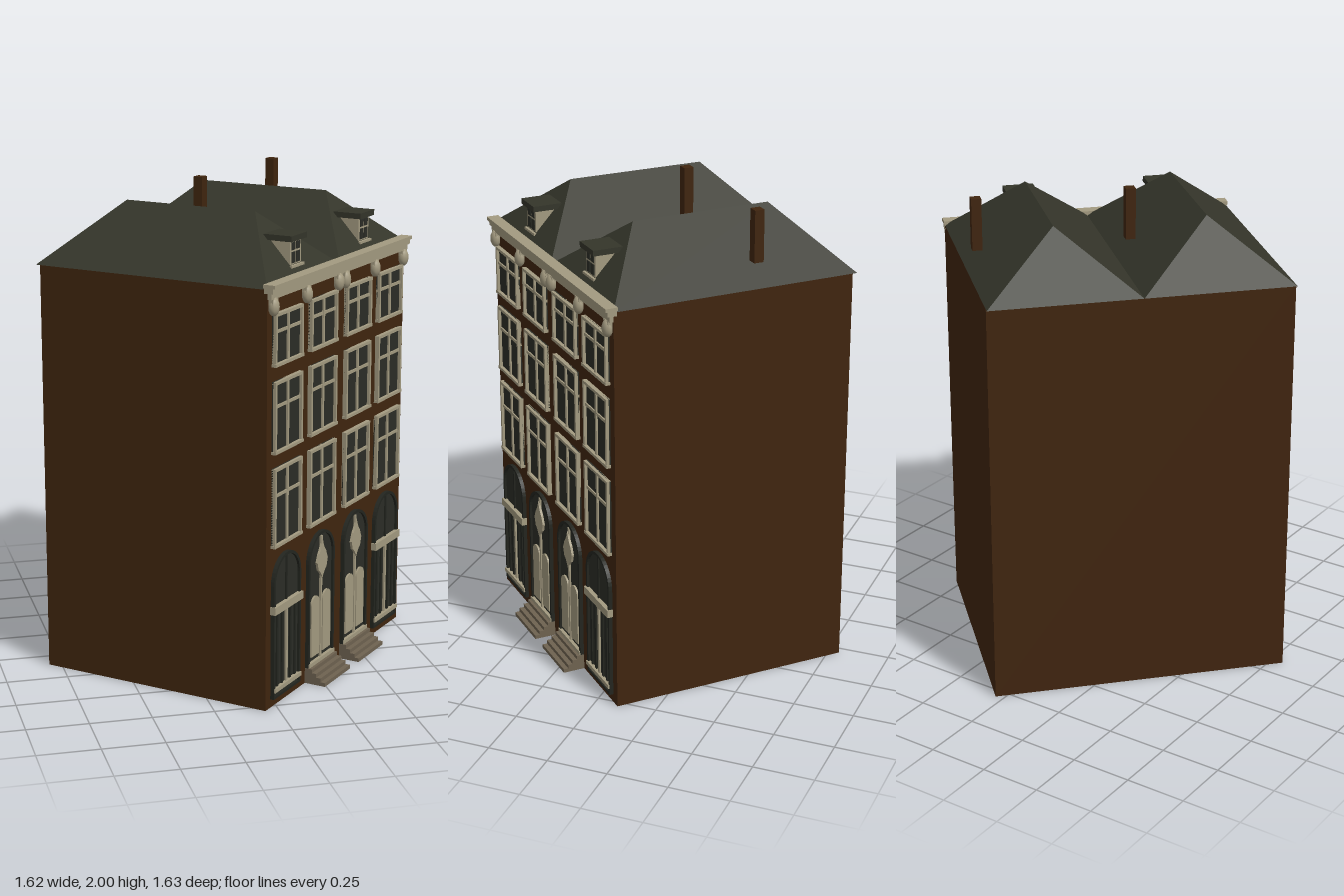
import * as THREE from 'three';

const material = (name, color) => {
  const m = new THREE.MeshStandardMaterial({ color });
  m.name = name;
  return m;
};

export function createModel() {
  const brick = material('brown brick', 0x40250f);
  const slate = material('dark slate', 0x34352a);
  const trim = material('cream trim', 0xa39a80);
  const glass = material('dark glass', 0x2b2d26);
  const dark = material('dark frame', 0x23251f);
  const stone = material('step stone', 0x6e6250);

  const W = 1.222, D = 1.022, EAVE = 1.69, FRONT = D / 2;
  const model = new THREE.Group();
  model.name = 'doubleTownHouse';
  // The house stands diagonally; local +z is its street facade
  const house = new THREE.Group();
  house.name = 'house';
  house.rotation.y = 0.818;
  house.position.x = -0.01;
  model.add(house);

  const add = (parent, name, geometry, mat, x = 0, y = 0, z = 0) => {
    const mesh = new THREE.Mesh(geometry, mat);
    mesh.name = name;
    mesh.position.set(x, y, z);
    parent.add(mesh);
    return mesh;
  };
  // Box given by its centre x, bottom and top y, back and front z
  const box = (parent, name, mat, x, w, y0, y1, z0, z1) =>
    add(parent, name, new THREE.BoxGeometry(w, y1 - y0, z1 - z0), mat, x, (y0 + y1) / 2, (z0 + z1) / 2);
  const group = (parent, name, x) => {
    const g = new THREE.Group();
    g.name = name;
    g.position.x = x;
    parent.add(g);
    return g;
  };

  // Round-topped outline, centred on x = 0
  const arch = (Type, w, y0, y1) => {
    const r = w / 2, s = new Type();
    s.moveTo(-r, y0);
    s.lineTo(r, y0);
    s.lineTo(r, y1 - r);
    s.absarc(0, y1 - r, r, 0, Math.PI, false);
    s.lineTo(-r, y0);
    return s;
  };
  const extrude = (shape, depth) =>
    new THREE.ExtrudeGeometry(shape, { depth, bevelEnabled: false, curveSegments: 10 });

  // Hipped roof over one house, overhanging at the back
  const hipRoof = () => {
    const b = W / 4, r = 0.292;
    const p = [
      [-b, 0, FRONT], [b, 0, FRONT], [b, 0, -0.531], [-b, 0, -0.531],
      [0, 0.236, r], [0, 0.236, -r],
    ];
    const faces = [0, 1, 4, 1, 2, 5, 1, 5, 4, 2, 3, 5, 3, 0, 4, 3, 4, 5, 0, 3, 2, 0, 2, 1];
    const g = new THREE.BufferGeometry();
    g.setAttribute('position', new THREE.Float32BufferAttribute(faces.flatMap(i => p[i]), 3));
    g.computeVertexNormals();
    return g;
  };

  // Sash window: glass, surround, mullion and a transom a third of the way down
  const sashWindow = (x, y0, y1) => {
    const g = group(house, 'sashWindow', x), w = 0.228, t = 0.012;
    box(g, 'windowGlass', glass, 0, w, y0, y1, FRONT - 0.005, FRONT + 0.006);
    for (const s of [-1, 1]) box(g, 'windowJamb', trim, s * (w - t) / 2, t, y0, y1, FRONT, FRONT + 0.018);
    box(g, 'windowHead', trim, 0, w, y1 - t, y1, FRONT, FRONT + 0.018);
    box(g, 'windowSill', trim, 0, w + 0.006, y0, y0 + t, FRONT, FRONT + 0.02);
    box(g, 'mullion', trim, 0, 0.013, y0, y1, FRONT, FRONT + 0.013);
    const yt = y1 - (y1 - y0) * 0.35;
    box(g, 'transom', trim, 0, w, yt - 0.006, yt + 0.006, FRONT, FRONT + 0.012);
  };

  // Arched opening shared by ground floor windows and doors
  const archedOpening = (name, x) => {
    const g = group(house, name, x);
    add(g, 'archGlass', extrude(arch(THREE.Shape, 0.226, 0.035, 0.62), 0.01), glass, 0, 0, FRONT - 0.004);
    const ring = arch(THREE.Shape, 0.228, 0.035, 0.621);
    ring.holes.push(arch(THREE.Path, 0.204, 0.045, 0.609));
    add(g, 'archFrame', extrude(ring, 0.016), dark, 0, 0, FRONT);
    return g;
  };

  const archedWindow = x => {
    const g = archedOpening('archedWindow', x);
    box(g, 'crossBeam', trim, 0, 0.236, 0.39, 0.422, FRONT, FRONT + 0.024);
    box(g, 'windowSill', trim, 0, 0.226, 0.063, 0.08, FRONT, FRONT + 0.022);
    box(g, 'lowerMullion', trim, 0, 0.014, 0.08, 0.39, FRONT, FRONT + 0.014);
    box(g, 'upperMullion', dark, 0, 0.01, 0.42, 0.61, FRONT, FRONT + 0.012);
    for (const s of [-1, 1])
      for (const off of [0.035, 0.075])
        box(g, 'lowerPaneBar', dark, s * off, 0.012, 0.08, 0.39, FRONT, FRONT + 0.012);
  };

  const frontDoor = x => {
    const g = archedOpening('frontDoor', x);
    for (const s of [-1, 1])
      add(g, 'doorPanel', extrude(arch(THREE.Shape, 0.07, 0.1, 0.356), 0.008), trim, s * 0.05, 0, FRONT + 0.006);
    box(g, 'doorPost', trim, 0, 0.012, 0.08, 0.6, FRONT, FRONT + 0.014);
    box(g, 'threshold', trim, 0, 0.226, 0.063, 0.08, FRONT, FRONT + 0.02);
    // Fanlight ornament
    const s = new THREE.Shape();
    s.moveTo(0, 0.42);
    s.quadraticCurveTo(0.015, 0.45, 0.035, 0.46);
    s.lineTo(0.046, 0.495);
    s.lineTo(0.03, 0.53);
    s.quadraticCurveTo(0.01, 0.55, 0, 0.585);
    s.quadraticCurveTo(-0.01, 0.55, -0.03, 0.53);
    s.lineTo(-0.046, 0.495);
    s.lineTo(-0.035, 0.46);
    s.quadraticCurveTo(-0.015, 0.45, 0, 0.42);
    add(g, 'fanlightOrnament', extrude(s, 0.01), trim, 0, 0, FRONT + 0.008);
    // Stoop
    for (let i = 0; i < 4; i++)
      box(g, 'step', stone, 0, 0.232, i * 0.016, (i + 1) * 0.016, FRONT - 0.005, 0.603 - i * 0.02);
  };

  // Dormer on the front roof slope, its back buried in the roof
  const dormer = x => {
    const g = group(house, 'dormer', x);
    box(g, 'dormerBody', trim, 0, 0.092, 1.725, 1.832, 0.37, 0.468);
    box(g, 'dormerRoof', slate, 0, 0.13, 1.83, 1.853, 0.362, 0.485);
    for (const s of [-1, 1]) {
      box(g, 'dormerPane', glass, s * 0.019, 0.03, 1.742, 1.785, 0.465, 0.471);
      box(g, 'dormerTopPane', glass, s * 0.019, 0.03, 1.793, 1.823, 0.465, 0.471);
    }
    box(g, 'dormerSill', trim, 0, 0.105, 1.725, 1.735, 0.46, 0.48);
  };

  box(house, 'walls', brick, 0, W, 0, EAVE, -D / 2, FRONT);

  for (const side of [-1, 1]) {
    const cx = side * W / 4;
    add(house, 'hipRoof', hipRoof(), slate, cx, EAVE, 0);
    dormer(side * 0.302);
    // Floating stack above the slope
    box(house, 'chimney', brick, side < 0 ? -0.041 : 0.575, 0.04, 1.79, 2, -0.125, -0.085);

    // Stepped cornice with rounded consoles
    box(house, 'frieze', trim, cx, W / 2, 1.652, 1.675, FRONT - 0.01, 0.528);
    box(house, 'corniceMoulding', trim, cx, W / 2 + 0.004, 1.675, 1.696, 0.497, 0.537);
    box(house, 'corniceTop', trim, cx, W / 2 + 0.01, 1.696, 1.71, 0.495, 0.546);
    for (const k of [-0.275, 0, 0.275]) {
      const c = add(house, 'console', new THREE.SphereGeometry(1, 10, 8), trim, cx + k, 1.622, FRONT + 0.012);
      c.scale.set(0.026, 0.037, 0.022);
      box(house, 'consoleBlock', trim, cx + k, 0.044, 1.63, 1.655, FRONT, 0.53);
    }

    // Openings, outer and inner bay
    for (const x of [0.457, 0.157])
      for (const [y0, y1] of [[1.385, 1.592], [1.04, 1.326], [0.662, 0.982]]) sashWindow(side * x, y0, y1);
    archedWindow(side * 0.457);
    frontDoor(side * 0.157);
  }
  return model;
}
